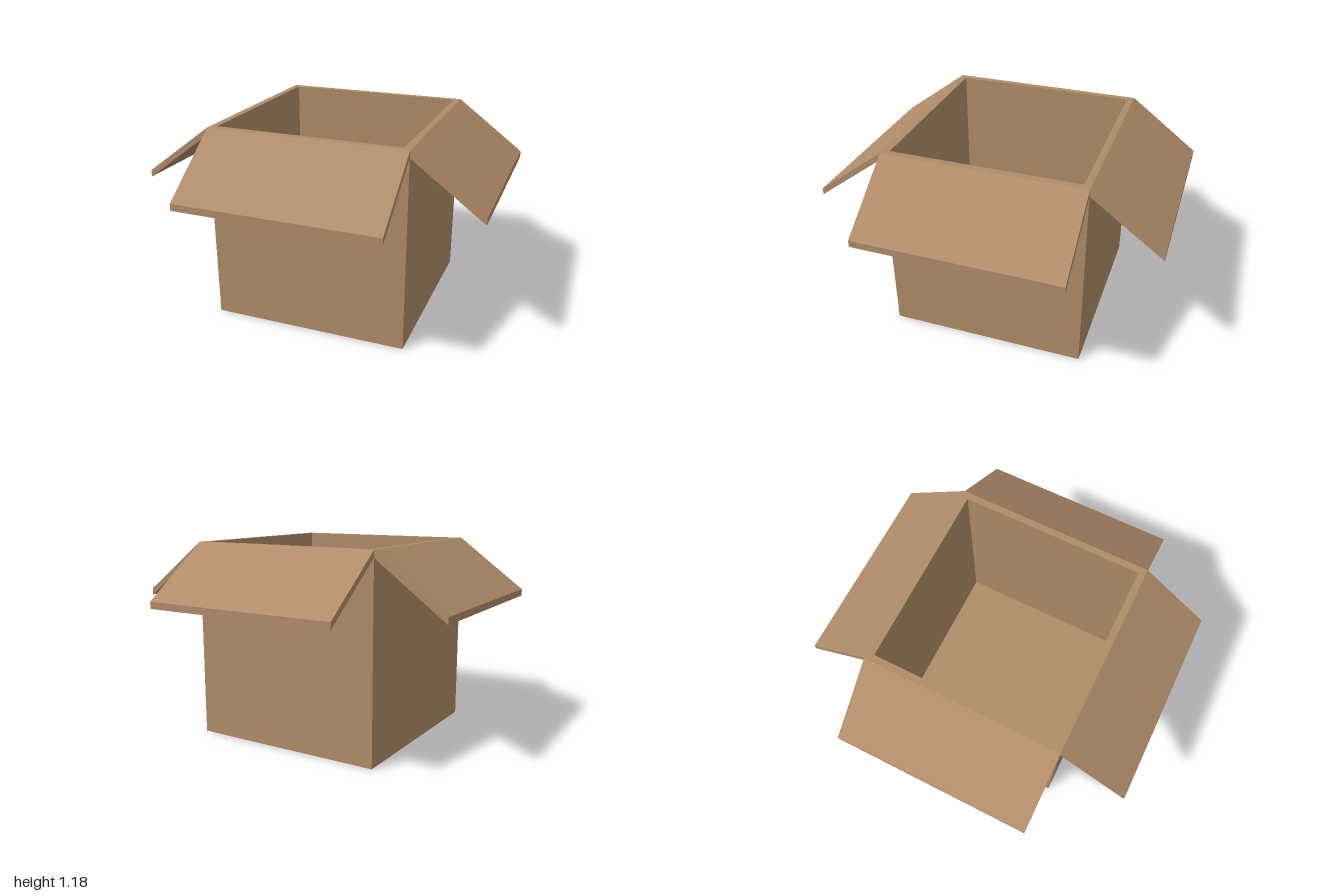
import * as THREE from 'three';

const HALF = 0.588;   // half the width of the box
const HEIGHT = 1.176;
const WALL = 0.04;    // board thickness
const DROP = 0.306;   // how far a flap falls from hinge to tip

export function createModel() {
  const group = new THREE.Group();
  const cardboard = new THREE.MeshStandardMaterial({ color: 0xaf8c67 });
  cardboard.name = 'cardboard';
  const flapCardboard = new THREE.MeshStandardMaterial({ color: 0xb18c6a });
  flapCardboard.name = 'flap cardboard';

  const square = (path, r) =>
    path.moveTo(-r, -r).lineTo(r, -r).lineTo(r, r).lineTo(-r, r).closePath();

  // Four walls as one hollow square tube
  const outline = square(new THREE.Shape(), HALF);
  outline.holes.push(square(new THREE.Path(), HALF - WALL));
  const wallGeometry = new THREE.ExtrudeGeometry(outline, { depth: HEIGHT, bevelEnabled: false });
  wallGeometry.rotateX(-Math.PI / 2);
  const walls = new THREE.Mesh(wallGeometry, cardboard);
  walls.name = 'walls';
  group.add(walls);

  // Floor fitted between the walls
  const inner = 2 * (HALF - WALL);
  const floor = new THREE.Mesh(new THREE.BoxGeometry(inner, WALL, inner), cardboard);
  floor.name = 'floor';
  floor.position.y = WALL / 2;
  group.add(floor);

  // Sloping flap with upright hinge and tip edges, repeated on each side
  const profile = new THREE.Shape()
    .moveTo(HALF, HEIGHT - WALL)
    .lineTo(1, HEIGHT - WALL - DROP)
    .lineTo(1, HEIGHT - DROP)
    .lineTo(HALF, HEIGHT)
    .closePath();
  const flapGeometry = new THREE.ExtrudeGeometry(profile, { depth: 2 * HALF, bevelEnabled: false });
  flapGeometry.translate(0, 0, -HALF);
  ['leftFlap', 'backFlap', 'rightFlap', 'frontFlap'].forEach((name, i) => {
    const flap = new THREE.Mesh(flapGeometry, flapCardboard);
    flap.name = name;
    flap.rotation.y = i * Math.PI / 2;
    group.add(flap);
  });

  return group;
}
